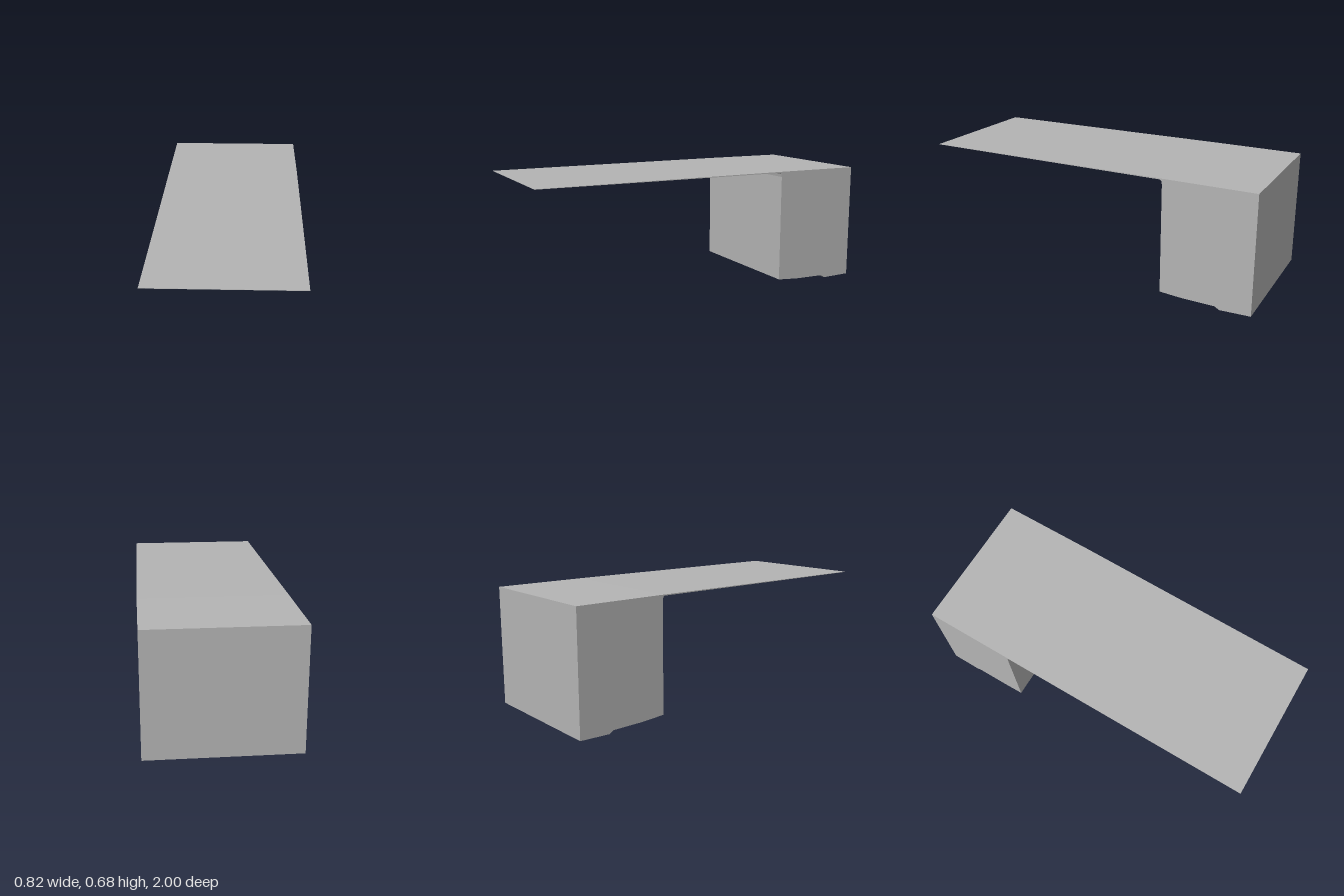
import * as THREE from 'three';

const WIDTH = 0.82;

// Extrudes a side profile of [z, y] points across the full width
function slice(name, points, material) {
  const shape = new THREE.Shape(points.map(([z, y]) => new THREE.Vector2(z, y)));
  const geometry = new THREE.ExtrudeGeometry(shape, { depth: WIDTH, bevelEnabled: false });
  geometry.rotateY(-Math.PI / 2).translate(WIDTH / 2, 0, 0);
  const mesh = new THREE.Mesh(geometry, material);
  mesh.name = name;
  return mesh;
}

export function createModel() {
  const group = new THREE.Group();
  group.name = 'blockWithCanopy';
  const grey = new THREE.MeshStandardMaterial({ color: 0xb4b4b4 });
  grey.name = 'plainGrey';

  // Block with a gently bowed underside and a stepped rear foot
  group.add(slice('block', [
    [-1, 0.003], [-0.825, 0], [-0.80, 0.016], [-0.72, 0.018], [-0.62, 0.02],
    [-0.55, 0.025], [-0.48, 0.031], [-0.48, 0.65], [-0.476, 0.668],
    [-0.468, 0.675], [-0.468, 0.681], [-1, 0.678],
  ], grey));

  // Thin canopy reaching forward, narrowing slightly on its left edge
  const canopy = slice('canopy', [
    [-0.468, 0.675], [1, 0.681], [1, 0.683], [-0.468, 0.681],
  ], grey);
  const position = canopy.geometry.attributes.position;
  for (let i = 0; i < position.count; i++) {
    if (position.getX(i) > 0 && position.getZ(i) > 0.9) position.setX(i, 0.4);
  }
  canopy.geometry.computeVertexNormals();
  group.add(canopy);

  return group;
}
